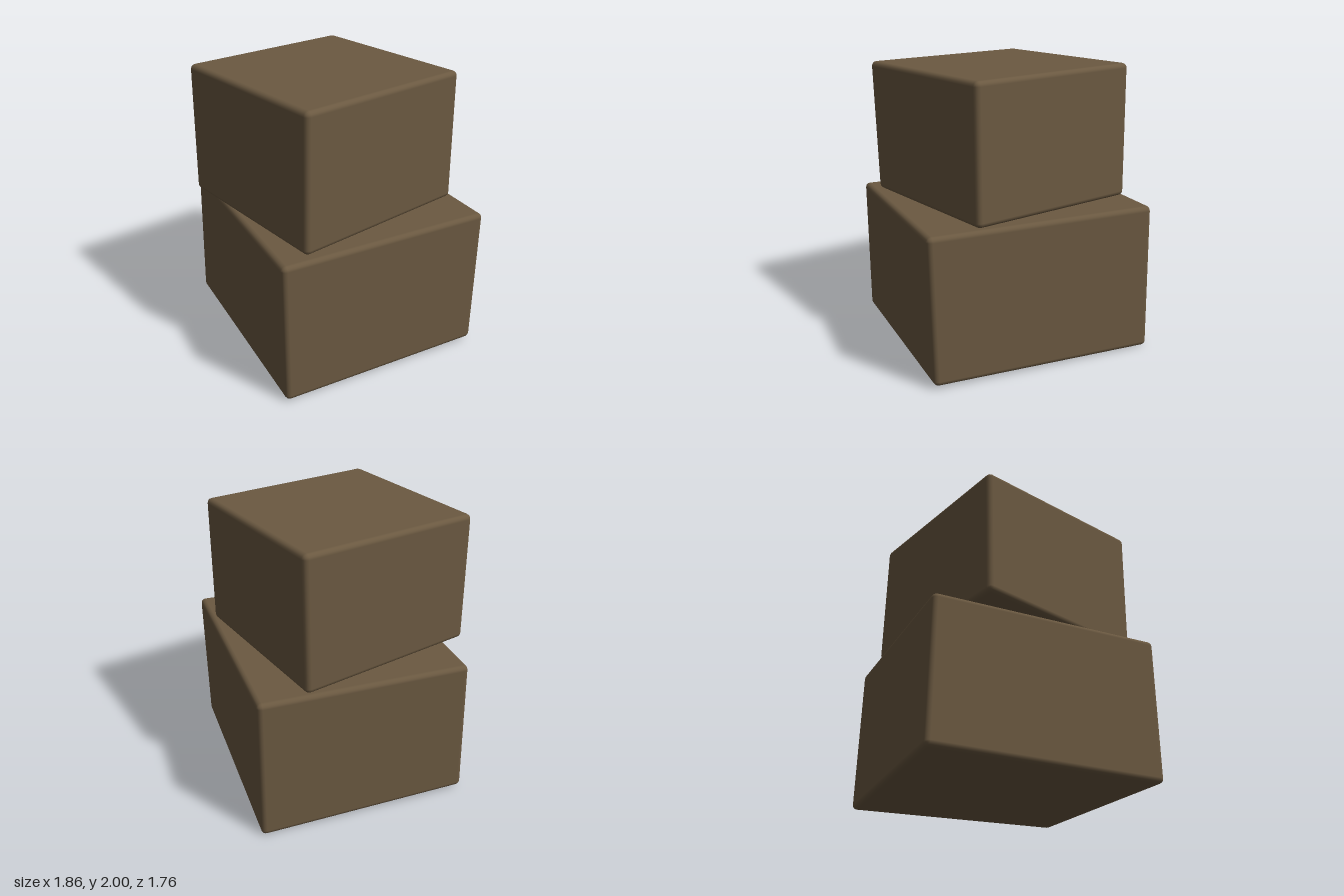
import * as THREE from 'three';
import { RoundedBoxGeometry } from 'three/addons/geometries/RoundedBoxGeometry.js';

// Slightly crooked block: a rounded box warped so its corners land on the given points.
// Corner order for each ring: back left-hand (-x), back (+x), front (-x), front (+x).
function crookedBlock(name, size, yaw, bottom, top, material) {
  const geometry = new RoundedBoxGeometry(...size, 2, 0.035);
  const pos = geometry.attributes.position;
  const local = pos.clone();
  geometry.rotateY(yaw); // turns the normals to match the warped block
  const corners = [bottom, top].map(ring => ring.map(c => new THREE.Vector3(...c)));
  const point = new THREE.Vector3();
  for (let i = 0; i < pos.count; i++) {
    const u = local.getX(i) / size[0] + 0.5;
    const v = local.getY(i) / size[1] + 0.5;
    const w = local.getZ(i) / size[2] + 0.5;
    point.set(0, 0, 0);
    corners.forEach((ring, j) => ring.forEach((corner, k) => {
      const weight = (j ? v : 1 - v) * (k % 2 ? u : 1 - u) * (k > 1 ? w : 1 - w);
      point.addScaledVector(corner, weight);
    }));
    pos.setXYZ(i, point.x, point.y, point.z);
  }
  geometry.computeBoundingSphere();
  const mesh = new THREE.Mesh(geometry, material);
  mesh.name = name;
  return mesh;
}

export function createModel() {
  const model = new THREE.Group();
  model.name = 'stackedBlocks';
  const brown = new THREE.MeshStandardMaterial({ color: 0x6b5941 });
  brown.name = 'earth brown';

  // Wide block at the base
  model.add(crookedBlock('lowerBlock', [1.62, 1.02, 1.5], -0.169,
    [[-0.68, 0.0, -0.885], [0.91, 0.025, -0.61], [0.69, 0.008, 0.88], [-0.94, 0.025, 0.605]]
      .map((c, i, a) => a[[0, 1, 3, 2][i]]),
    [[-0.67, 1.055, -0.87], [0.935, 1.055, -0.61], [0.69, 1.025, 0.885], [-0.915, 1.035, 0.595]]
      .map((c, i, a) => a[[0, 1, 3, 2][i]]), brown));

  // Smaller block on top, turned the other way
  model.add(crookedBlock('upperBlock', [1.3, 0.94, 1.31], 0.07,
    [[-0.71, 1.048, -0.54], [0.585, 1.052, -0.635], [-0.61, 1.07, 0.767], [0.66, 1.025, 0.685]],
    [[-0.695, 2.0, -0.54], [0.59, 1.982, -0.63], [-0.615, 1.993, 0.755], [0.685, 1.98, 0.685]], brown));

  return model;
}
